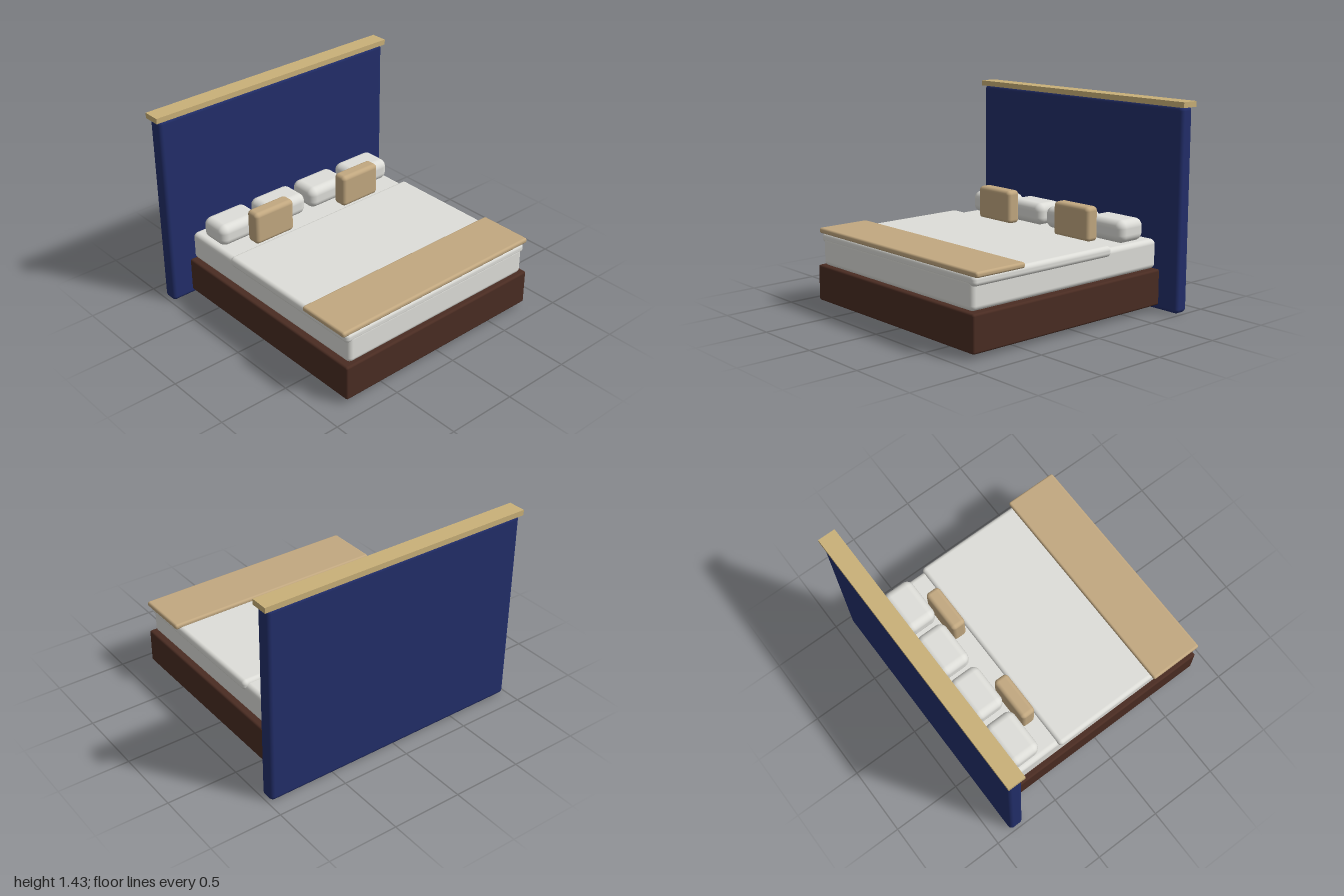
import * as THREE from 'three';
import { RoundedBoxGeometry } from 'three/addons/geometries/RoundedBoxGeometry.js';

const paint = (name, color) => {
  const m = new THREE.MeshStandardMaterial({ color });
  m.name = name;
  return m;
};

export function createModel() {
  const group = new THREE.Group();
  group.name = 'bed';

  const navy = paint('navy upholstery', 0x222e6a);
  const gold = paint('gold trim', 0xc9b078);
  const wood = paint('dark wood', 0x4a2c22);
  const linen = paint('white linen', 0xdeded9);
  const tan = paint('tan fabric', 0xc2a880);

  // Box spanning the given [min, max] ranges, with rounded edges if radius > 0
  function block(name, material, [x0, x1], [y0, y1], [z0, z1], radius = 0) {
    const size = [x1 - x0, y1 - y0, z1 - z0];
    const geometry = radius > 0
      ? new RoundedBoxGeometry(...size, 5, radius)
      : new THREE.BoxGeometry(...size);
    const mesh = new THREE.Mesh(geometry, material);
    mesh.name = name;
    mesh.position.set((x0 + x1) / 2, (y0 + y1) / 2, (z0 + z1) / 2);
    group.add(mesh);
  }

  // Headboard panel with its top rail
  block('headboard', navy, [-0.98, 0.98], [0, 1.4], [-0.876, -0.767], 0.03);
  block('headboardRail', gold, [-1, 1], [1.395, 1.433], [-0.885, -0.76]);

  // Base and bedding
  block('base', wood, [-0.82, 0.82], [0.035, 0.285], [-0.775, 0.885], 0.015);
  block('mattress', linen, [-0.785, 0.785], [0.285, 0.49], [-0.775, 0.866], 0.035);
  block('duvet', linen, [-0.803, 0.803], [0.44, 0.513], [-0.32, 0.866], 0.03);
  block('throwBlanket', tan, [-0.83, 0.83], [0.502, 0.54], [0.472, 0.866], 0.016);

  // Two pillows and one upright cushion on each side
  for (const [side, s] of [['left', 1], ['right', -1]]) {
    const span = (centre, width) => [s * centre - width / 2, s * centre + width / 2];
    block(`${side}InnerPillow`, linen, span(0.193, 0.343), [0.49, 0.645], [-0.682, -0.448], 0.055);
    block(`${side}OuterPillow`, linen, span(0.587, 0.343), [0.49, 0.645], [-0.682, -0.448], 0.055);
    block(`${side}Cushion`, tan, span(0.39, 0.328), [0.485, 0.724], [-0.446, -0.338], 0.03);
  }

  return group;
}
